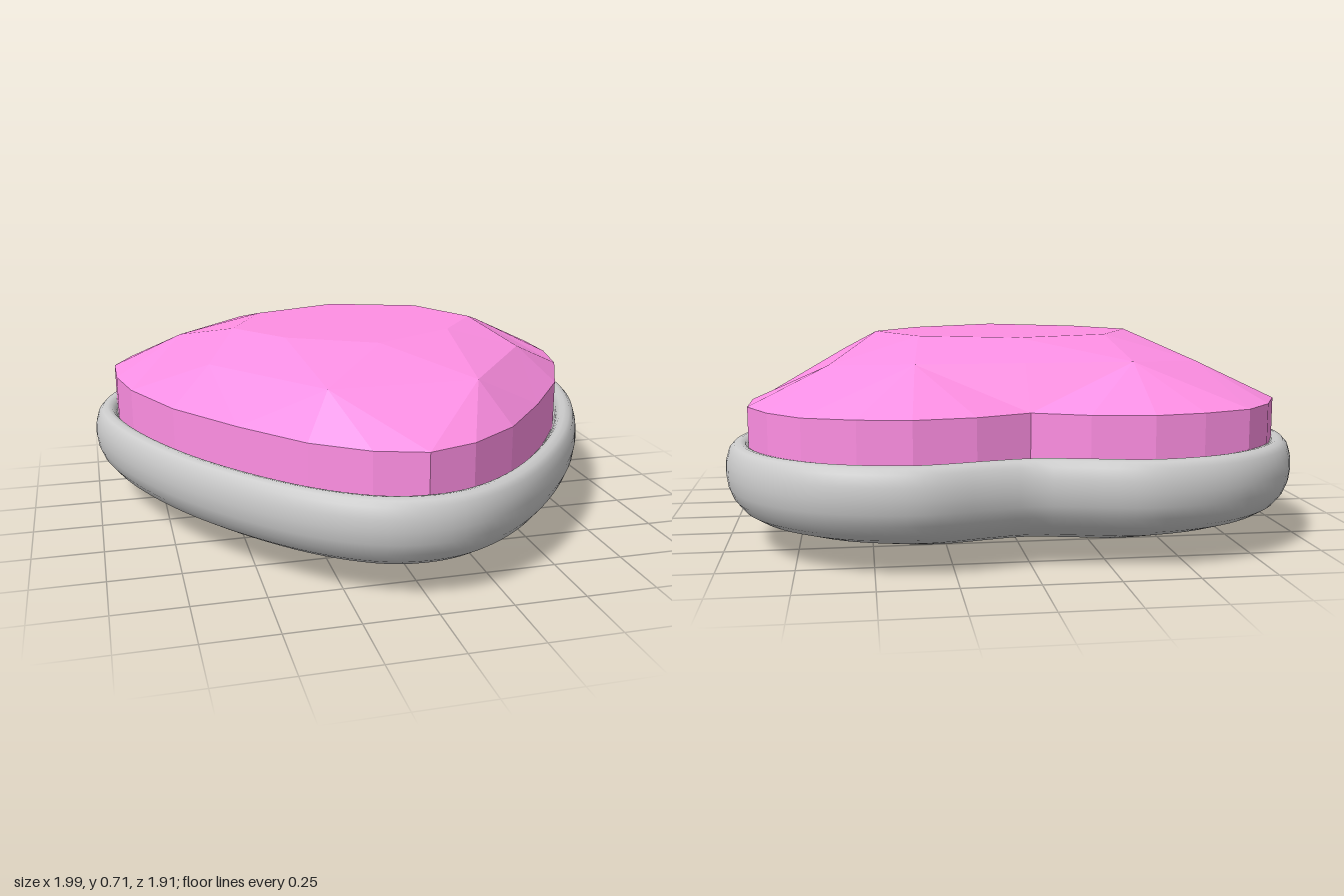
import * as THREE from 'three';

// Smooth heart outline of the setting, [x, z], right half from notch to tip
const RIM = [[0, -0.89], [0.12, -0.91], [0.38, -0.957], [0.68, -0.88], [0.9, -0.68], [0.995, -0.4],
  [0.95, -0.1], [0.73, 0.37], [0.4, 0.77], [0.17, 0.92], [0, 0.952]];
// Faceted girdle outline of the gem, same order
const GIRDLE = [[0, -0.77], [0.18, -0.845], [0.38, -0.875], [0.55, -0.845], [0.72, -0.78], [0.83, -0.66],
  [0.905, -0.51], [0.905, -0.31], [0.86, -0.1], [0.73, 0.19], [0.54, 0.46], [0.35, 0.69], [0.17, 0.82], [0, 0.875]];
// Table corners, crown corners between them [x, y, z], and girdle index below each table corner
const TABLE = [[0, -0.48], [0.33, -0.36], [0.47, -0.09], [0.31, 0.12], [0, 0.29]];
const CROWN = [[0.36, 0.64, -0.66], [0.64, 0.62, -0.45], [0.59, 0.63, 0.13], [0.26, 0.636, 0.59]];
const FOOT = [0, 4, 8, 10, 13];

function createSetting() {
  const N = 120;
  const mirrored = RIM.slice(1, -1).reverse().map(([x, z]) => [-x, z]);
  const curve = new THREE.CatmullRomCurve3(
    [...RIM, ...mirrored].map(([x, z]) => new THREE.Vector3(x, 0, z)), true, 'centripetal');
  const points = curve.getSpacedPoints(N).slice(0, N);
  const tangents = points.map((_, i) => curve.getTangentAt(i / N));
  // Rings: [inset from the outline, y, scale towards the centre]
  const rings = [[0.12, 0.29, 0], [0.12, 0.29, 1], [0.092, 0.31, 1], [0.083, 0.34, 1], [0.068, 0.356, 1],
    [0.05, 0.36, 1], [0.03, 0.354, 1], [0.014, 0.337, 1], [0.003, 0.3, 1], [0, 0.26, 1], [0.006, 0.215, 1],
    [0.022, 0.175, 1], [0.05, 0.14, 1], [0.09, 0.115, 1], [0.09, 0.092, 0.92], [0.09, 0.068, 0.8],
    [0.09, 0.042, 0.6], [0.09, 0.02, 0.38], [0.09, 0.005, 0.16], [0.09, 0, 0]];
  const cz = -0.25;
  const pos = [], index = [];
  rings.forEach(([inset, y, s], r) => {
    points.forEach((p, j) => {
      const t = tangents[j];
      pos.push(s * (p.x - t.z * inset), y, cz + s * (p.z + t.x * inset - cz));
      if (r === rings.length - 1) return;
      const a = r * N + j, b = r * N + (j + 1) % N;
      if (r > 0) index.push(a, b, a + N);
      if (r < rings.length - 2) index.push(b, b + N, a + N);
    });
  });
  const geo = new THREE.BufferGeometry();
  geo.setAttribute('position', new THREE.Float32BufferAttribute(pos, 3));
  geo.setIndex(index);
  geo.computeVertexNormals();
  const mesh = new THREE.Mesh(geo, new THREE.MeshStandardMaterial({ color: 0xcccccc }));
  mesh.name = 'setting';
  return mesh;
}

function createGem() {
  const pos = [];
  // One triangle and its mirror image
  const tri = (a, b, c) => {
    pos.push(...a, ...b, ...c);
    for (const [x, y, z] of [a, c, b]) pos.push(-x, y, z);
  };
  // Same, turned to face upwards
  const up = (a, b, c) => {
    const ny = (b[2] - a[2]) * (c[0] - a[0]) - (b[0] - a[0]) * (c[2] - a[2]);
    if (ny > 0) tri(a, b, c); else tri(a, c, b);
  };
  const lift = (y) => ([x, z]) => [x, y, z];
  const table = TABLE.map(lift(0.71)), girdle = GIRDLE.map(lift(0.492)), base = GIRDLE.map(lift(0.28));

  // Flat table
  const middle = [0, 0.71, -0.1];
  for (let i = 0; i < 4; i++) up(middle, table[i], table[i + 1]);

  // Star facets and girdle fans around each crown corner
  CROWN.forEach((m, k) => {
    up(table[k], table[k + 1], m);
    for (let g = FOOT[k]; g < FOOT[k + 1]; g++) up(m, girdle[g], girdle[g + 1]);
  });

  // Kite facets below each table corner, halved on the centre line
  table.forEach((t, k) => {
    const left = CROWN[k - 1] ?? [0, CROWN[0][1], CROWN[0][2]];
    const right = CROWN[k] ?? [0, CROWN[3][1], CROWN[3][2]];
    up(t, left, right);
    up(girdle[FOOT[k]], left, right);
  });

  // Upright girdle wall
  for (let i = 0; i < girdle.length - 1; i++) {
    tri(girdle[i], girdle[i + 1], base[i]);
    tri(girdle[i + 1], base[i + 1], base[i]);
  }

  const geo = new THREE.BufferGeometry();
  geo.setAttribute('position', new THREE.Float32BufferAttribute(pos, 3));
  geo.computeVertexNormals();
  const mesh = new THREE.Mesh(geo, new THREE.MeshStandardMaterial({ color: 0xff8fe4, flatShading: true }));
  mesh.name = 'gem';
  return mesh;
}

export function createModel() {
  const group = new THREE.Group();
  group.name = 'heartJewel';
  group.add(createSetting(), createGem());
  return group;
}
